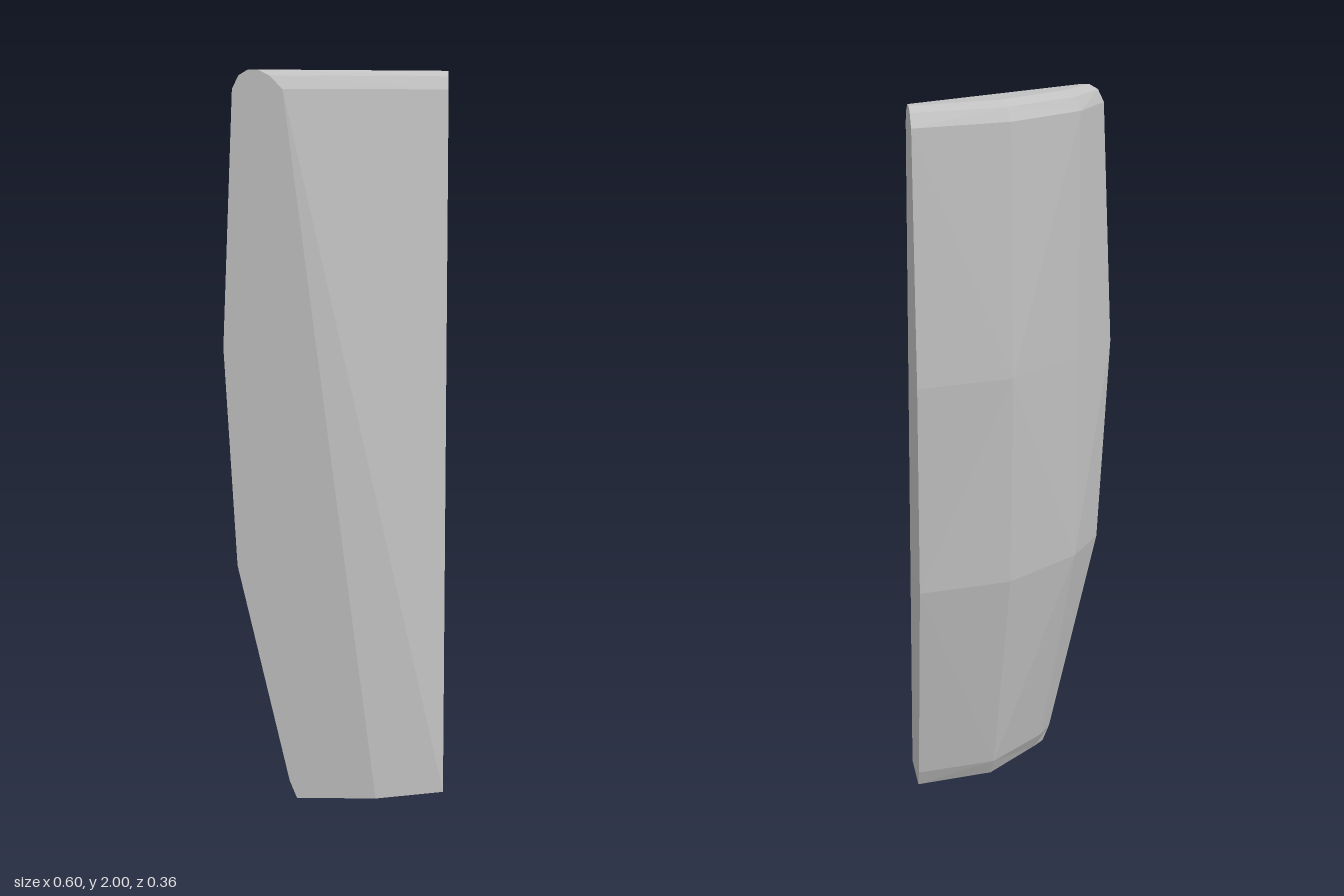
import * as THREE from 'three';

// The panel ends in two flat cuts: one at z = FRONT, one at x = SIDE.
const FRONT = 0.18, SIDE = 0.3;

// Outer skin, bottom to top: [y, x on front cut, inner station A (x, z), inner station B (x, z), z on side cut]
const OUTER = [
  [0.00, -0.11, -0.08, 0.15, 0.08, 0.012, -0.02],
  [0.05, -0.13, -0.095, 0.128, 0.073, -0.01, -0.04],
  [0.67, -0.27, -0.176, 0.042, 0.04, -0.112, -0.152],
  [1.27, -0.302, -0.178, 0.04, 0.035, -0.132, -0.182],
  [1.95, -0.272, -0.178, 0.04, 0.035, -0.103, -0.162],
  [1.985, -0.255, -0.165, 0.055, 0.045, -0.085, -0.138],
  [2.00, -0.23, -0.145, 0.08, 0.055, -0.055, -0.115],
];

// Inner skin, top to bottom: [y, x on front cut, z on side cut]
const INNER = [
  [2.00, -0.205, -0.087],
  [1.985, -0.175, -0.066],
  [1.95, -0.14, -0.046],
  [0.00, 0.11, 0.125],
];

export function createModel() {
  const positions = [];
  const tri = (...points) => points.forEach((p) => positions.push(...p));
  const fan = (points) => {
    for (let i = 1; i < points.length - 1; i++) tri(points[0], points[i], points[i + 1]);
  };

  const outer = OUTER.map(([y, x, ax, az, bx, bz, z]) =>
    [[x, y, FRONT], [ax, y, az], [bx, y, bz], [SIDE, y, z]]);
  const inner = INNER.map(([y, x, z]) => [[x, y, FRONT], [SIDE, y, z]]);

  // Faceted outer skin
  for (let j = 0; j < outer.length - 1; j++) {
    for (let i = 0; i < 3; i++) {
      const a = outer[j][i], b = outer[j][i + 1];
      const c = outer[j + 1][i + 1], d = outer[j + 1][i];
      fan((i + j) % 2 === 0 ? [d, c, b, a] : [a, d, c, b]);
    }
  }

  // Rounded inner lip and straight inner face
  for (let j = 0; j < inner.length - 1; j++) {
    fan([inner[j][0], inner[j + 1][0], inner[j + 1][1], inner[j][1]]);
  }

  // Crest and base
  const crest = outer[outer.length - 1], base = outer[0];
  const lip = inner[0], foot = inner[inner.length - 1];
  fan([lip[0], lip[1], crest[3], crest[2], crest[1], crest[0]]);
  fan([foot[0], ...base, foot[1]]);

  // Flat cut ends
  fan([...outer.map((r) => r[0]), ...inner.map((r) => r[0])].reverse());
  fan([...outer.map((r) => r[3]), ...inner.map((r) => r[1])]);

  const geometry = new THREE.BufferGeometry();
  geometry.setAttribute('position', new THREE.Float32BufferAttribute(positions, 3));
  geometry.computeVertexNormals(); // unshared corners keep the facets flat

  const material = new THREE.MeshStandardMaterial({ color: 0xc0c0c0 });
  material.name = 'lightGrey';
  const panel = new THREE.Mesh(geometry, material);
  panel.name = 'curvedPanel';

  const group = new THREE.Group();
  group.name = 'facetedPanel';
  group.add(panel);
  return group;
}
